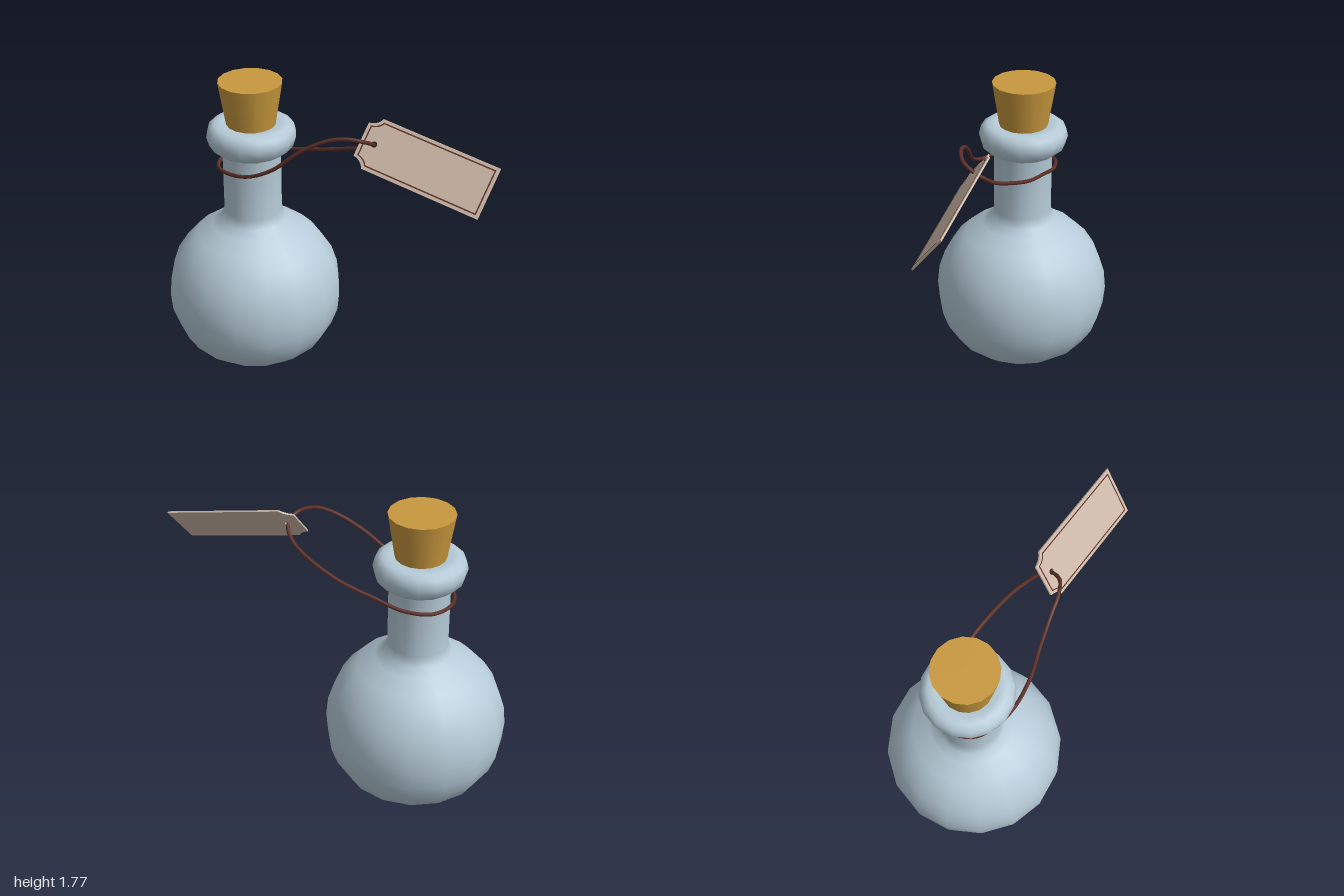
import * as THREE from 'three';

const paint = (name, color) => {
  const m = new THREE.MeshStandardMaterial({ color });
  m.name = name;
  return m;
};

// Tag outline with concave corners at the tied end, shrunk by d
function tagOutline(d, PathType = THREE.Shape) {
  const right = 0.707 - d, half = 0.15 - d, left = -0.07 + d;
  const notchV = 0.1 - d * 0.6, notchU = d * 0.6;
  const p = new PathType();
  p.moveTo(right, -half);
  p.lineTo(right, half);
  p.lineTo(notchU, half);
  p.quadraticCurveTo(-0.015 + notchU, notchV + 0.01, left, notchV);
  p.lineTo(left, -notchV);
  p.quadraticCurveTo(-0.015 + notchU, -notchV - 0.01, notchU, -half);
  p.closePath();
  return p;
}

export function createModel() {
  const glass = paint('blueGlass', 0xb6cbd8);
  const corkMat = paint('cork', 0xc8983e);
  const paper = paint('paper', 0xcbb7a6);
  const cordMat = paint('brownCord', 0x5e3028);

  const model = new THREE.Group();
  const add = (parent, name, geometry, material) => {
    const mesh = new THREE.Mesh(geometry, material);
    mesh.name = name;
    parent.add(mesh);
    return mesh;
  };

  // Bottle: round body, straight neck and rolled lip
  const profile = [
    [0, 0], [0.22, 0], [0.32, 0.03], [0.415, 0.105], [0.475, 0.2], [0.512, 0.305],
    [0.522, 0.42], [0.51, 0.535], [0.475, 0.64], [0.415, 0.735], [0.345, 0.805],
    [0.245, 0.87], [0.195, 0.91], [0.172, 0.965], [0.172, 1.34], [0.205, 1.355],
    [0.246, 1.39], [0.262, 1.445], [0.25, 1.495], [0.215, 1.52], [0.17, 1.52], [0.12, 1.51],
  ].map(([r, y]) => new THREE.Vector2(r, y));
  const bottle = new THREE.Group();
  bottle.name = 'stopperedBottle';
  bottle.position.x = -0.48;
  model.add(bottle);
  add(bottle, 'bottle', new THREE.LatheGeometry(profile, 16), glass);

  // Tapered stopper
  add(bottle, 'stopper', new THREE.CylinderGeometry(0.186, 0.132, 0.335, 16), corkMat)
    .position.y = 1.6075;

  // Cord looped round the neck and through the tag
  const cordPath = new THREE.CatmullRomCurve3([
    [0.3, 1.557, -0.07], [0.28, 1.597, 0.005], [0.2, 1.615, 0.06], [0.1, 1.59, 0.095],
    [-0.05, 1.5, 0.145], [-0.2, 1.37, 0.195], [-0.35, 1.295, 0.215], [-0.5, 1.265, 0.2],
    [-0.62, 1.255, 0.14], [-0.675, 1.255, 0], [-0.62, 1.258, -0.14], [-0.48, 1.27, -0.2],
    [-0.3, 1.31, -0.21], [-0.1, 1.36, -0.215], [0.1, 1.43, -0.19], [0.22, 1.48, -0.15],
    [0.282, 1.53, -0.108],
  ].map((p) => new THREE.Vector3(...p)), true);
  add(model, 'cord', new THREE.TubeGeometry(cordPath, 120, 0.011, 8, true), cordMat);

  // Tag, tilted up and towards the front
  const tag = new THREE.Group();
  tag.name = 'tag';
  const u = new THREE.Vector3(0.69, -0.143, -0.073).normalize();
  const n = new THREE.Vector3().crossVectors(u, new THREE.Vector3(0.035, 0.232, -0.188)).normalize();
  const v = new THREE.Vector3().crossVectors(n, u);
  tag.quaternion.setFromRotationMatrix(new THREE.Matrix4().makeBasis(u, v, n));
  tag.position.set(0.2925, 1.5575, -0.0725);
  model.add(tag);

  const sheet = tagOutline(0);
  sheet.holes.push(new THREE.Path().absarc(0.01, 0, 0.018, 0, Math.PI * 2, true));
  const sheetGeometry = new THREE.ExtrudeGeometry(sheet, { depth: 0.01, bevelEnabled: false, curveSegments: 6 });
  sheetGeometry.translate(0, 0, -0.005);
  add(tag, 'tagSheet', sheetGeometry, paper);

  // Thin border line on the tag's face
  const border = tagOutline(0.018);
  border.holes.push(tagOutline(0.026, THREE.Path));
  add(tag, 'tagBorder', new THREE.ShapeGeometry(border, 6), cordMat).position.z = 0.0065;

  return model;
}
